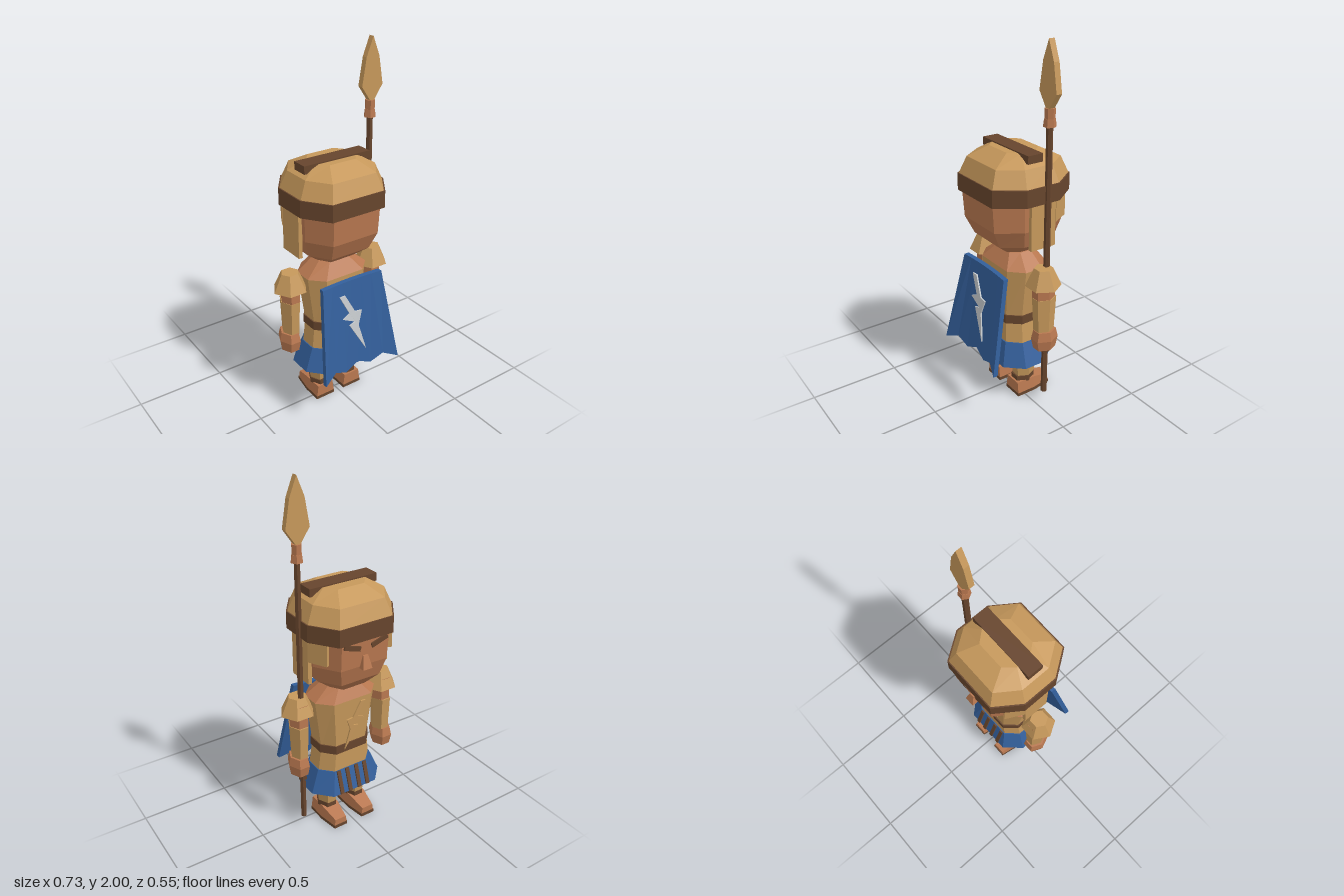
import * as THREE from 'three';

const mat = (name, color) => {
  const m = new THREE.MeshStandardMaterial({ color });
  m.name = name;
  return m;
};

export function createModel() {
  const gold = mat('gold', 0xc6985b), skin = mat('skin', 0xb97850), brown = mat('brown', 0x67452d);
  const blue = mat('blue', 0x335f9b), silver = mat('silver', 0xc6cacd);
  const root = new THREE.Group();
  root.name = 'spearGuard';

  // Adds a faceted mesh
  const add = (name, geo, material, x = 0, y = 0, z = 0) => {
    const g = geo.index ? geo.toNonIndexed() : geo;
    g.computeVertexNormals();
    const m = new THREE.Mesh(g, material);
    m.name = name;
    m.position.set(x, y, z);
    root.add(m);
    return m;
  };

  // Closed octagonal loft; each section is [y, halfX, halfZ, centreZ]
  const loft = (sections) => {
    const rings = sections.map(([y, hx, hz, cz = -0.025]) => {
      const a = hx * 0.62, b = hz * 0.42;
      return [[hx, b], [a, hz], [-a, hz], [-hx, b], [-hx, -b], [-a, -hz], [a, -hz], [hx, -b]]
        .map(([x, z]) => [x, y, z + cz]);
    });
    const p = [];
    const tri = (...v) => v.forEach((q) => p.push(...q));
    const last = rings.length - 1;
    const mid = (i) => [0, sections[i][0], sections[i][3] ?? -0.025];
    for (let i = 0; i < 8; i++) {
      const j = (i + 1) % 8;
      for (let k = 0; k < last; k++) {
        const A = rings[k], B = rings[k + 1];
        tri(A[i], B[i], A[j]);
        tri(A[j], B[i], B[j]);
      }
      tri(mid(0), rings[0][i], rings[0][j]);
      tri(mid(last), rings[last][j], rings[last][i]);
    }
    const g = new THREE.BufferGeometry();
    g.setAttribute('position', new THREE.Float32BufferAttribute(p, 3));
    return g;
  };

  // Six-sided tapered segment between two heights, with corners on the x axis
  const hex = (name, material, x, z, y0, y1, r0, r1, sz = 1) => {
    const g = new THREE.CylinderGeometry(r1, r0, y1 - y0, 6);
    g.rotateY(Math.PI / 6 * 3).scale(1, 1, sz);
    return add(name, g, material, x, (y0 + y1) / 2, z);
  };

  // Head and helmet
  add('head', loft([[0.885, 0.11, 0.112, -0.047], [0.95, 0.19, 0.18, -0.035],
    [1.05, 0.225, 0.218, -0.027], [1.22, 0.23, 0.23, -0.027]]), skin);
  add('helmetBand', loft([[1.197, 0.259, 0.241], [1.29, 0.259, 0.241]]), brown);
  add('helmetDome', loft([[1.285, 0.254, 0.237], [1.38, 0.214, 0.2], [1.434, 0.127, 0.098]]), gold);
  add('helmetCrest', new THREE.BoxGeometry(0.4, 0.043, 0.09), brown, 0, 1.419, -0.015);

  // Nose: a box narrowed and pushed back at the top
  const nose = new THREE.BoxGeometry(0.056, 0.07, 0.05);
  const np = nose.attributes.position;
  for (let i = 0; i < np.count; i++) {
    if (np.getY(i) > 0) np.setXYZ(i, np.getX(i) * 0.5, np.getY(i), np.getZ(i) + 0.02);
  }
  add('nose', nose, skin, 0, 1.075, -0.253);

  // Torso, belt and skirt
  add('collar', loft([[0.8, 0.19, 0.125], [0.875, 0.1, 0.077, -0.032]]), skin);
  add('tunic', loft([[0.35, 0.168, 0.115, -0.018], [0.5, 0.15, 0.11, -0.022], [0.8, 0.19, 0.125]]), gold);
  add('belt', loft([[0.475, 0.159, 0.118, -0.022], [0.525, 0.159, 0.118, -0.022]]), brown);
  add('skirt', loft([[0.23, 0.225, 0.16, -0.02], [0.36, 0.172, 0.12, -0.018]]), blue);
  for (const x of [-0.085, -0.03, 0.03, 0.085]) {
    const strap = add('skirtStrap', new THREE.BoxGeometry(0.022, 0.135, 0.009), brown, x, 0.297, -0.163);
    strap.rotation.x = 0.31;
  }

  // Lightning emblem outline
  const boltShape = new THREE.Shape([[-0.09, 0.73], [-0.055, 0.73], [0.002, 0.62], [0.045, 0.615],
    [0.018, 0.535], [0.055, 0.38], [-0.04, 0.55], [0.0, 0.56], [-0.08, 0.6], [-0.035, 0.62]]
    .map(([x, y]) => new THREE.Vector2(x, y)));
  const bolt = () => new THREE.ExtrudeGeometry(boltShape, { depth: 0.008, bevelEnabled: false });

  const chestBolt = bolt().translate(0, -0.555, 0).scale(0.85, 0.82, 1);
  const chestMesh = add('chestBolt', chestBolt, gold, 0, 0.635, -0.153);
  chestMesh.rotation.x = -0.05;

  // Cape: a bowed slab with a zigzag hem
  const capeZ = (x, y) => {
    const t = (0.8 - y) / 0.52, u = x / (0.19 + 0.055 * t);
    return 0.16 + 0.067 * t + 0.048 * u * u * (0.2 + 0.8 * t);
  };
  const cape = new THREE.BoxGeometry(2, 1, 1, 6, 1, 1);
  const cp = cape.attributes.position;
  for (let i = 0; i < cp.count; i++) {
    const u = cp.getX(i), column = Math.round((u + 1) * 3);
    const y = cp.getY(i) > 0 ? 0.8 : column % 2 ? 0.315 : 0.28;
    const x = u * (0.19 + 0.055 * (0.8 - y) / 0.52);
    cp.setXYZ(i, x, y, capeZ(x, y) - (cp.getZ(i) < 0 ? 0.027 : 0));
  }
  add('cape', cape, blue);
  const capeBolt = bolt();
  const bp = capeBolt.attributes.position;
  for (let i = 0; i < bp.count; i++) bp.setZ(i, bp.getZ(i) + capeZ(bp.getX(i), bp.getY(i)) + 0.001);
  add('capeBolt', capeBolt, silver);

  for (const s of [1, -1]) {
    const side = s > 0 ? 'left' : 'right';
    // Cheek guard with a forward wing, and brow
    add(side + 'CheekGuard', new THREE.BoxGeometry(0.022, 0.26, 0.15), gold, s * 0.237, 1.08, -0.035);
    const wing = add(side + 'CheekWing', new THREE.BoxGeometry(0.022, 0.13, 0.11), gold, s * 0.215, 1.145, -0.155);
    wing.rotation.y = s * 0.48;
    const brow = add(side + 'Brow', new THREE.BoxGeometry(0.1, 0.026, 0.009), brown, s * 0.082, 1.172, -0.258);
    brow.rotation.z = s * 0.32;

    // Arm
    hex(side + 'Pauldron', gold, s * 0.268, -0.025, 0.75, 0.85, 0.096, 0.05);
    hex(side + 'UpperArm', skin, s * 0.265, -0.03, 0.68, 0.81, 0.053, 0.053, 1.2);
    hex(side + 'Bracer', gold, s * 0.268, -0.033, 0.475, 0.68, 0.045, 0.053, 1.3);
    hex(side + 'Hand', skin, s * 0.275, -0.035, 0.435, 0.485, 0.06, 0.05, 1.3);
    hex(side + 'Fist', skin, s * 0.275, -0.035, 0.375, 0.435, 0.05, 0.06, 1.3);

    // Leg
    const x = s * 0.093;
    hex(side + 'Thigh', skin, x, -0.03, 0.21, 0.36, 0.064, 0.068, 1.2);
    hex(side + 'Greave', gold, x, -0.03, 0.11, 0.21, 0.052, 0.064, 1.2);
    hex(side + 'AnkleStrap', brown, x, -0.025, 0.078, 0.112, 0.056, 0.056, 1.2);

    // Foot: a box sloping down and narrowing to the toe
    const foot = new THREE.BoxGeometry(0.116, 0.07, 0.22, 1, 1, 2);
    const fp = foot.attributes.position;
    for (let i = 0; i < fp.count; i++) {
      const z = fp.getZ(i);
      if (z < -0.05) fp.setX(i, fp.getX(i) * 0.7);
      if (fp.getY(i) > 0) fp.setXYZ(i, fp.getX(i) * 0.85, z < -0.05 ? 0.005 : 0.035, z);
    }
    add(side + 'Foot', foot, skin, x, 0.05, -0.066);
    const sole = new THREE.BoxGeometry(0.12, 0.018, 0.225, 1, 1, 2);
    const sp = sole.attributes.position;
    for (let i = 0; i < sp.count; i++) if (sp.getZ(i) < -0.05) sp.setX(i, sp.getX(i) * 0.7);
    add(side + 'Sole', sole, brown, x, 0.009, -0.067);
  }

  // Spear
  const sx = 0.26, sz = -0.05;
  hex('spearShaft', brown, sx, sz, 0.07, 1.6, 0.017, 0.017);
  hex('spearGrip', brown, sx, sz, 0.33, 0.375, 0.024, 0.024);
  hex('spearCollarLower', skin, sx, sz, 1.59, 1.63, 0.033, 0.028);
  hex('spearCollarUpper', skin, sx, sz, 1.63, 1.68, 0.026, 0.028);
  const blade = new THREE.Shape([[-0.01, 1.675], [0.01, 1.675], [0.065, 1.755], [0.04, 1.9],
    [0, 2], [-0.04, 1.9], [-0.065, 1.755]].map(([x, y]) => new THREE.Vector2(x, y)));
  add('spearBlade', new THREE.ExtrudeGeometry(blade, { depth: 0.032, bevelEnabled: false }), gold, sx, 0, sz - 0.016);

  return root;
}
